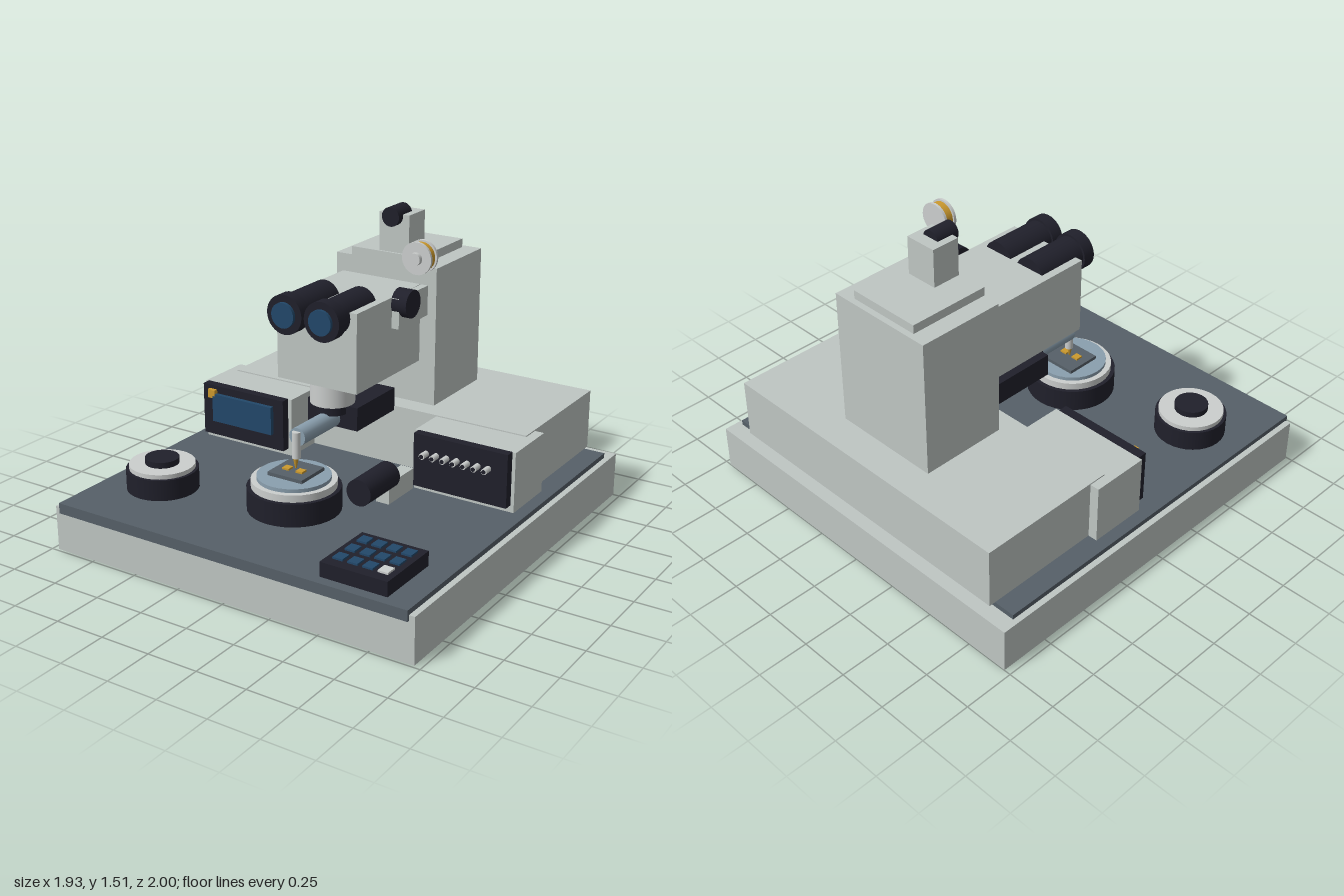
import * as THREE from 'three';

const paint = (name, color) => Object.assign(new THREE.MeshStandardMaterial({ color }), { name });

export function createModel() {
  const housing = paint('housing grey', 0xbfc6c3);
  const pale = paint('pale metal', 0xcccfce);
  const black = paint('soft black', 0x20202b);
  const slate = paint('slate deck', 0x566068);
  const blue = paint('screen blue', 0x22486a);
  const steel = paint('blue steel', 0x8a9fae);
  const gold = paint('gold', 0xcc9a2e);

  const model = new THREE.Group();
  model.name = 'wireBondingMachine';

  const add = (name, geometry, material, x, y, z, parent = model) => {
    const mesh = new THREE.Mesh(geometry, material);
    mesh.name = name;
    mesh.position.set(x, y, z);
    parent.add(mesh);
    return mesh;
  };
  // Box given by its limits on each axis
  const box = (name, material, [x0, x1], [y0, y1], [z0, z1]) =>
    add(name, new THREE.BoxGeometry(x1 - x0, y1 - y0, z1 - z0), material,
      (x0 + x1) / 2, (y0 + y1) / 2, (z0 + z1) / 2);
  // Upright cylinder from y0 to y1
  const disc = (name, material, r, x, z, y0, y1, rBottom = r) =>
    add(name, new THREE.CylinderGeometry(r, rBottom, y1 - y0, 32), material, x, (y0 + y1) / 2, z);
  // Cylinder lying along z from z0 to z1
  const barrel = (name, material, r, x, y, z0, z1, sides = 32) =>
    add(name, new THREE.CylinderGeometry(r, r, z1 - z0, sides).rotateX(Math.PI / 2), material,
      x, y, (z0 + z1) / 2);

  // Base, work deck and feet
  box('base', housing, [-0.967, 0.967], [0.002, 0.225], [-1, 0.99]);
  box('deck', slate, [-0.938, 0.938], [0.198, 0.25], [-0.92, 1]);
  for (const x of [-0.77, 0.77])
    for (const z of [-0.78, 0.78]) disc('foot', black, 0.06, x, z, 0, 0.01);

  // Rear body and column
  box('rearBody', housing, [-0.83, 0.83], [0.25, 0.552], [-0.952, -0.243]);
  box('column', housing, [-0.28, 0.28], [0.55, 1.24], [-0.787, -0.347]);
  box('columnCap', housing, [-0.19, 0.19], [1.24, 1.283], [-0.757, -0.343]);
  box('topPost', housing, [-0.042, 0.122], [1.283, 1.473], [-0.5, -0.355]);
  barrel('topKnob', black, 0.047, 0.04, 1.463, -0.44, -0.318);

  // Side modules with their front panels
  for (const s of [-1, 1]) {
    const span = (a, b) => [Math.min(s * a, s * b), Math.max(s * a, s * b)];
    box('sideModule', housing, span(0.352, 0.877), [0.25, 0.546], [-0.333, -0.045]);
    box('frontPanel', black, span(0.372, 0.86), [0.285, 0.549], [-0.045, 0]);
  }
  box('screen', blue, [-0.79, -0.43], [0.365, 0.51], [0, 0.022]);
  box('indicator', gold, [-0.82, -0.775], [0.485, 0.53], [0, 0.018]);
  box('indicatorCorner', gold, [-0.8, -0.775], [0.5, 0.53], [0.018, 0.024]);
  for (let i = 0; i < 7; i++) {
    const x = 0.44 + i * 0.054;
    barrel('panelSwitch', pale, 0.015, x, 0.46, 0, 0.045, 12);
    barrel('switchTip', black, 0.01, x, 0.46, 0.045, 0.05, 12);
  }

  // Viewing head with side bracket and focus knob
  box('head', housing, [-0.217, 0.217], [0.785, 1.166], [-0.305, 0.252]);
  box('headBracket', housing, [0.2, 0.255], [1.018, 1.164], [-0.31, -0.047]);
  const knob = barrel('focusKnob', black, 0.067, 0.255, 1.132, -0.147, -0.067);
  knob.position.z = -0.107;
  knob.rotation.y = Math.PI / 2;

  // Twin eyepieces
  for (const x of [-0.1, 0.1]) {
    barrel('eyepieceTube', black, 0.083, x, 1.137, 0.03, 0.3);
    barrel('eyecup', black, 0.094, x, 1.137, 0.298, 0.36);
    barrel('lens', blue, 0.06, x, 1.137, 0.36, 0.376);
  }

  // Objective, bond head and tool
  disc('objective', pale, 0.106, 0, 0.12, 0.67, 0.786);
  disc('objectiveNeck', black, 0.077, 0, 0.12, 0.62, 0.67);
  box('bondHead', black, [-0.138, 0.138], [0.545, 0.66], [-0.21, 0.122]);
  barrel('bondArm', steel, 0.044, 0, 0.587, 0.12, 0.413, 16);
  disc('toolHolder', pale, 0.02, 0, 0.42, 0.487, 0.615);
  disc('toolTip', gold, 0.013, 0, 0.425, 0.44, 0.487, 0.004);

  // Work stage with chip and pads
  disc('stageBase', black, 0.22, 0, 0.44, 0.25, 0.362);
  disc('stageRing', pale, 0.2, 0, 0.44, 0.362, 0.397);
  disc('stagePlate', steel, 0.173, 0, 0.44, 0.397, 0.415);
  box('chip', slate, [-0.095, 0.095], [0.415, 0.432], [0.335, 0.517]);
  for (const x of [-0.037, 0.037])
    box('pad', gold, [x - 0.018, x + 0.018], [0.432, 0.441], [0.42, 0.458]);

  // Control dial
  disc('dialBase', black, 0.172, -0.655, 0.587, 0.25, 0.352);
  disc('dialRing', pale, 0.157, -0.655, 0.587, 0.352, 0.374);
  disc('dialCap', black, 0.081, -0.655, 0.587, 0.374, 0.403);

  // Keypad
  box('keypad', black, [0.48, 0.813], [0.25, 0.32], [0.617, 0.95]);
  for (let row = 0; row < 3; row++)
    for (let col = 0; col < 4; col++) {
      const x = 0.535 + col * 0.074, z = 0.682 + row * 0.094;
      box('key', row === 2 && col === 3 ? pale : blue,
        [x - 0.025, x + 0.025], [0.32, 0.329], [z - 0.028, z + 0.028]);
    }

  // Side viewer above the deck
  box('viewerMount', housing, [0.508, 0.572], [0.447, 0.543], [0.343, 0.549]);
  barrel('viewerBarrel', black, 0.06, 0.54, 0.567, 0.505, 0.742);

  // Wire spool
  barrel('spoolWire', gold, 0.068, 0.305, 1.348, -0.165, -0.125);
  barrel('spoolFlange', pale, 0.077, 0.305, 1.348, -0.178, -0.165);
  barrel('spoolFlange', pale, 0.077, 0.305, 1.348, -0.125, -0.112);
  barrel('spoolHub', pale, 0.03, 0.305, 1.348, -0.112, -0.09);

  return model;
}
